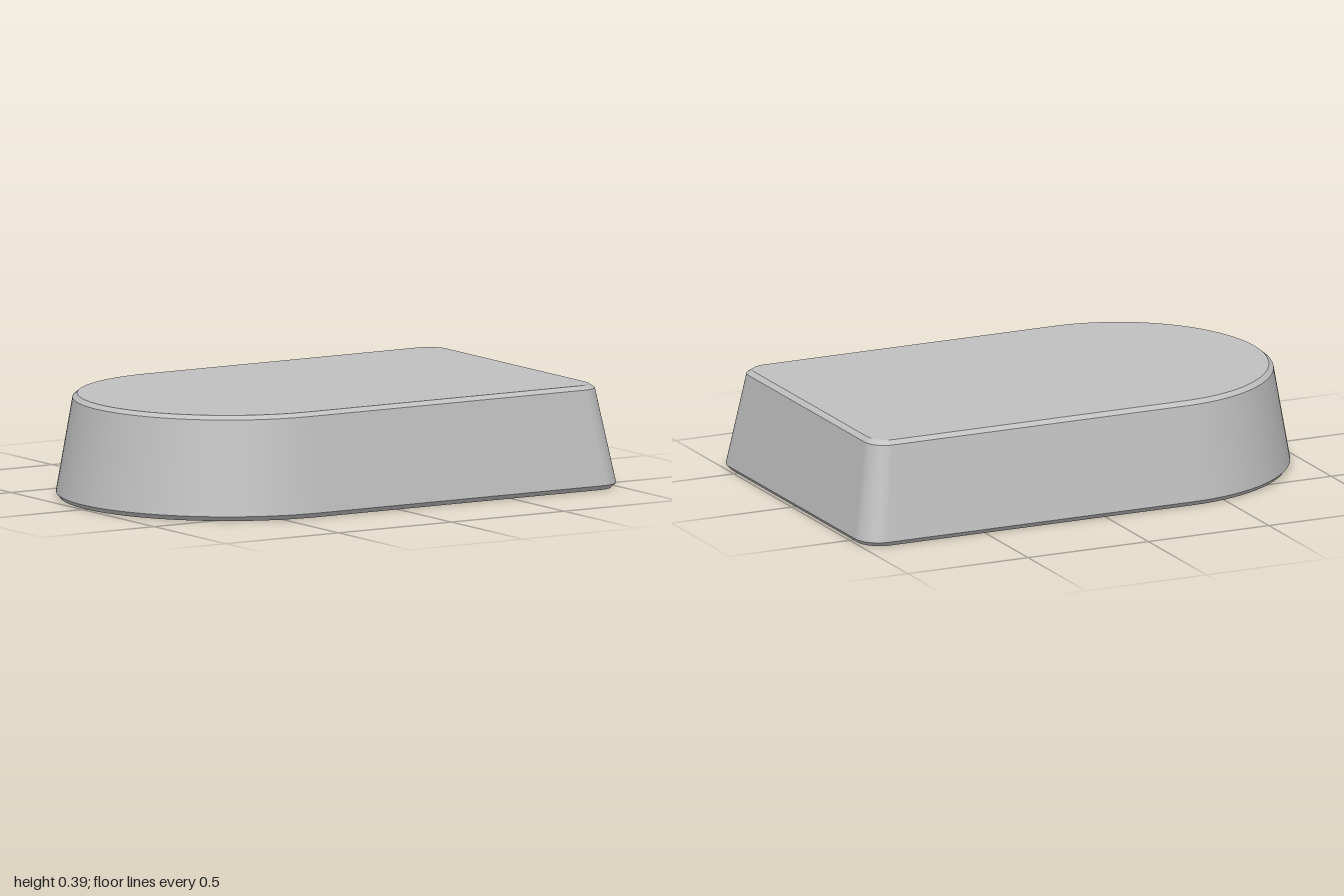
import * as THREE from 'three';

const HALF_WIDTH = 0.643, ARC_X = -0.357, CORNER = 0.095;

// D-shaped outline, shrunk by an inset: two small rounded corners and one large half circle
function outline(inset) {
  const w = HALF_WIDTH - inset, end = 1 - inset, r = CORNER - inset * 0.25;
  const points = [];
  const arc = (cx, cy, radius, from, to, steps) => {
    for (let i = 0; i <= steps; i++) {
      const a = from + (to - from) * i / steps;
      points.push(new THREE.Vector2(cx + radius * Math.cos(a), cy + radius * Math.sin(a)));
    }
  };
  arc(end - r, -w + r, r, -Math.PI / 2, 0, 12);
  arc(end - r, w - r, r, 0, Math.PI / 2, 12);
  arc(ARC_X, 0, w, Math.PI / 2, Math.PI * 1.5, 64);
  return points;
}

// Closed band between two outlines, smooth around the loop
function band(y0, inset0, y1, inset1) {
  const low = outline(inset0), high = outline(inset1), n = low.length;
  const positions = [], index = [];
  low.forEach(p => positions.push(p.x, y0, -p.y));
  high.forEach(p => positions.push(p.x, y1, -p.y));
  for (let i = 0; i < n; i++) {
    const j = (i + 1) % n;
    index.push(i, j, n + j, i, n + j, n + i);
  }
  const geometry = new THREE.BufferGeometry();
  geometry.setAttribute('position', new THREE.Float32BufferAttribute(positions, 3));
  geometry.setIndex(index);
  geometry.computeVertexNormals();
  return geometry;
}

export function createModel() {
  const group = new THREE.Group();
  group.name = 'taperedBlock';
  const grey = new THREE.MeshStandardMaterial({ color: 0xc0c0c0, side: THREE.DoubleSide });
  grey.name = 'grey';

  const add = (name, geometry) => {
    const mesh = new THREE.Mesh(geometry, grey);
    mesh.name = name;
    group.add(mesh);
    return mesh;
  };

  // Chamfered foot, sloping wall and chamfered rim
  add('footChamfer', band(0, 0.015, 0.018, 0));
  add('slopingWall', band(0.018, 0, 0.375, 0.062));
  add('rimChamfer', band(0.375, 0.062, 0.39, 0.08));

  // Flat top
  const top = add('topFace', new THREE.ShapeGeometry(new THREE.Shape(outline(0.08))).rotateX(-Math.PI / 2));
  top.position.y = 0.39;

  // Underside with two blind screw holes
  const holeX = 0.67, holeZ = 0.32, holeR = 0.038, depth = 0.2;
  const base = new THREE.Shape(outline(0.015));
  for (const side of [-1, 1]) {
    const hole = new THREE.Path();
    hole.absarc(holeX, side * holeZ, holeR, 0, Math.PI * 2, true);
    base.holes.push(hole);

    const wall = add('screwHoleWall', new THREE.CylinderGeometry(holeR, holeR, depth, 24, 1, true));
    wall.position.set(holeX, depth / 2, side * holeZ);
    const floor = add('screwHoleEnd', new THREE.CircleGeometry(holeR, 24).rotateX(Math.PI / 2));
    floor.position.set(holeX, depth, side * holeZ);
  }
  add('underside', new THREE.ShapeGeometry(base, 12).rotateX(Math.PI / 2));

  return group;
}
